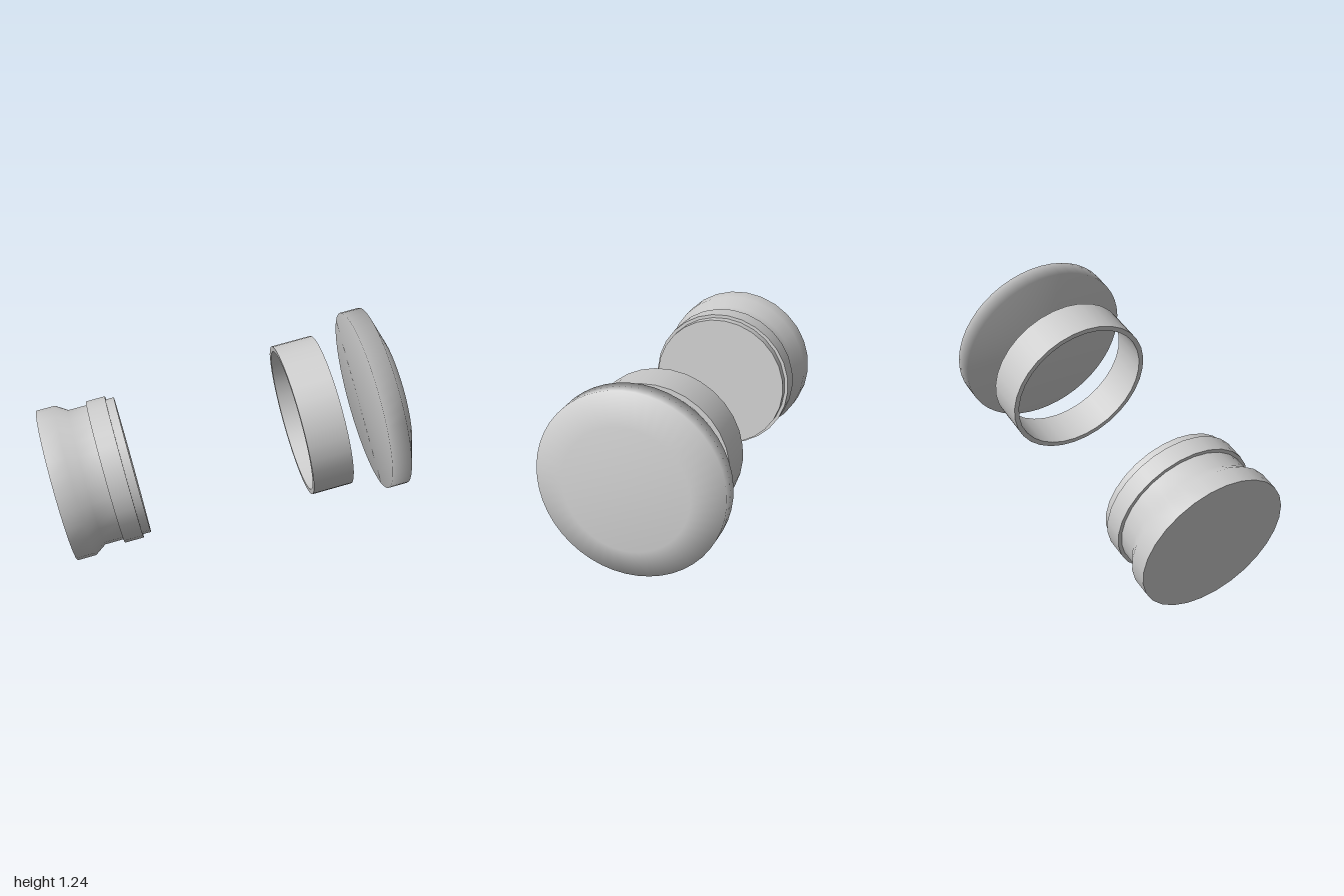
import * as THREE from 'three';
import { mergeGeometries } from 'three/addons/utils/BufferGeometryUtils.js';

const TILT = THREE.MathUtils.degToRad(11);

// Turned part: each section is a list of [radius, distance along axis].
// Shading is smooth within a section and sharp between sections.
function turned(name, sections, segments, x, y, material) {
  const lathes = sections.map((pts) =>
    new THREE.LatheGeometry(pts.map(([r, a]) => new THREE.Vector2(r, a)), segments));
  const geometry = mergeGeometries(lathes);
  geometry.rotateZ(TILT - Math.PI / 2);
  const mesh = new THREE.Mesh(geometry, material);
  mesh.name = name;
  mesh.position.set(x, y, 0);
  return mesh;
}

export function createModel() {
  const grey = new THREE.MeshStandardMaterial({ color: 0xcccccc });
  grey.name = 'plainGrey';
  const model = new THREE.Group();
  model.name = 'explodedKnob';

  // Base: flared foot, narrow waist, raised collar and a short spigot
  model.add(turned('base', [
    [[0, 0], [0.418, 0]],
    [[0.418, 0], [0.418, 0.102], [0.376, 0.165], [0.376, 0.268]],
    [[0.376, 0.268], [0.396, 0.268]],
    [[0.396, 0.268], [0.396, 0.373]],
    [[0.396, 0.373], [0.378, 0.373]],
    [[0.378, 0.373], [0.378, 0.418]],
    [[0.378, 0.418], [0, 0.418]],
  ], 28, -0.92, 0.42, grey));

  // Ring: thin open sleeve
  model.add(turned('ring', [
    [[0.39, 0], [0.418, 0]],
    [[0.418, 0], [0.418, 0.22]],
    [[0.418, 0.22], [0.39, 0.22]],
    [[0.39, 0.22], [0.39, 0]],
  ], 32, 0.371, 0.67, grey));

  // Cap: soft-shaded disc with a sloping shoulder and a flat face
  model.add(turned('cap', [
    [[0, 0], [0.496, 0], [0.496, 0.106], [0.332, 0.165], [0, 0.165]],
  ], 48, 0.7725, 0.7475, grey));

  return model;
}
